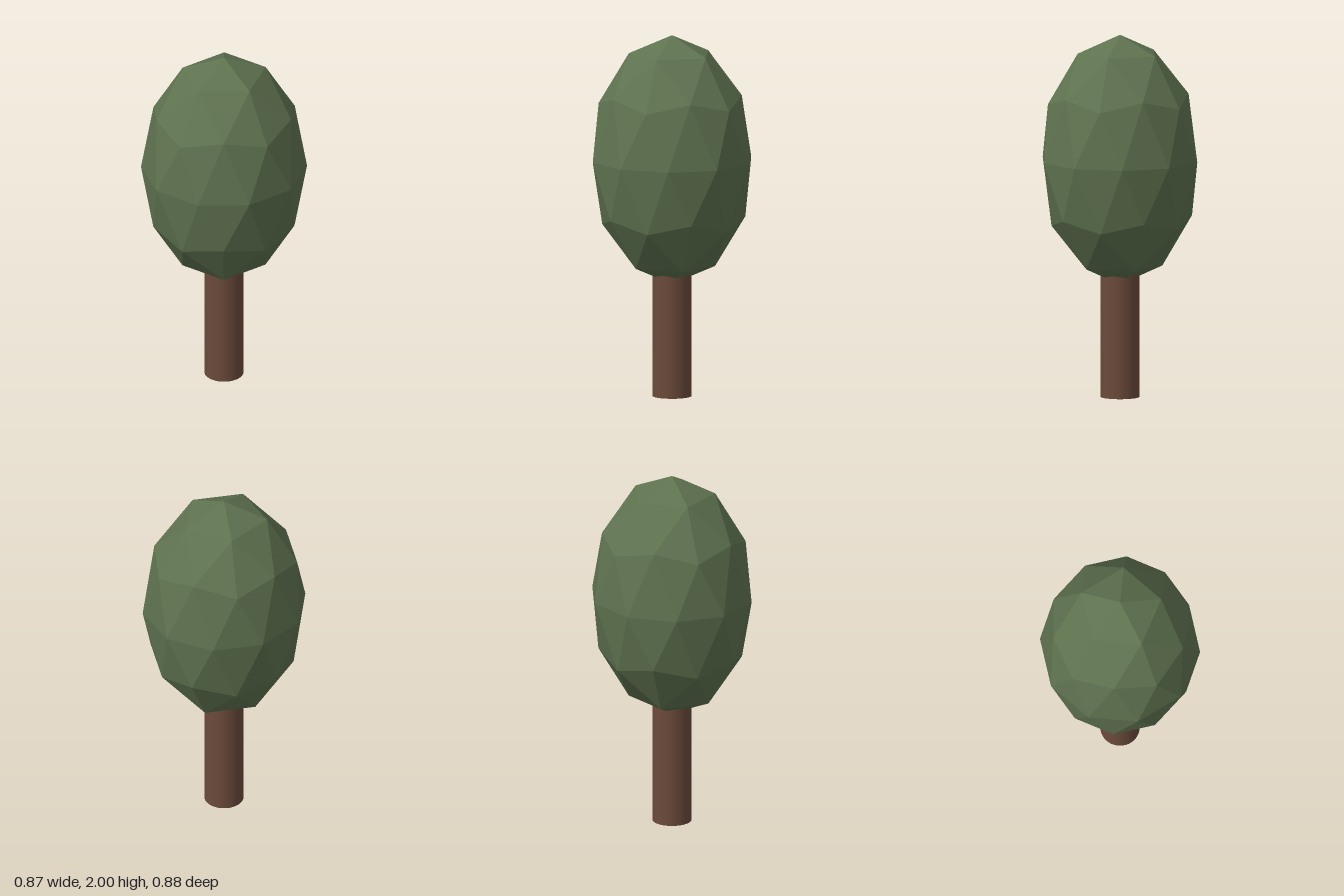
import * as THREE from 'three';

export function createModel() {
  const tree = new THREE.Group();
  tree.name = 'tree';

  // Trunk: smooth round post whose top is buried in the crown
  const trunkHeight = 0.8;
  const trunk = new THREE.Mesh(
    new THREE.CylinderGeometry(0.108, 0.108, trunkHeight, 32),
    new THREE.MeshStandardMaterial({ color: 0x6b4a3a })
  );
  trunk.name = 'trunk';
  trunk.position.y = trunkHeight / 2;
  tree.add(trunk);

  // Crown: faceted icosphere turned to stand on a vertex, stretched to an egg shape
  const golden = (1 + Math.sqrt(5)) / 2;
  const crownGeometry = new THREE.IcosahedronGeometry(1, 1);
  crownGeometry.rotateZ(-Math.atan(1 / golden));
  crownGeometry.scale(0.456, 0.69, 0.44);
  crownGeometry.computeVertexNormals();
  const crown = new THREE.Mesh(
    crownGeometry,
    new THREE.MeshStandardMaterial({ color: 0x5f7350, flatShading: true })
  );
  crown.name = 'crown';
  crown.position.y = 1.31;
  tree.add(crown);

  return tree;
}
